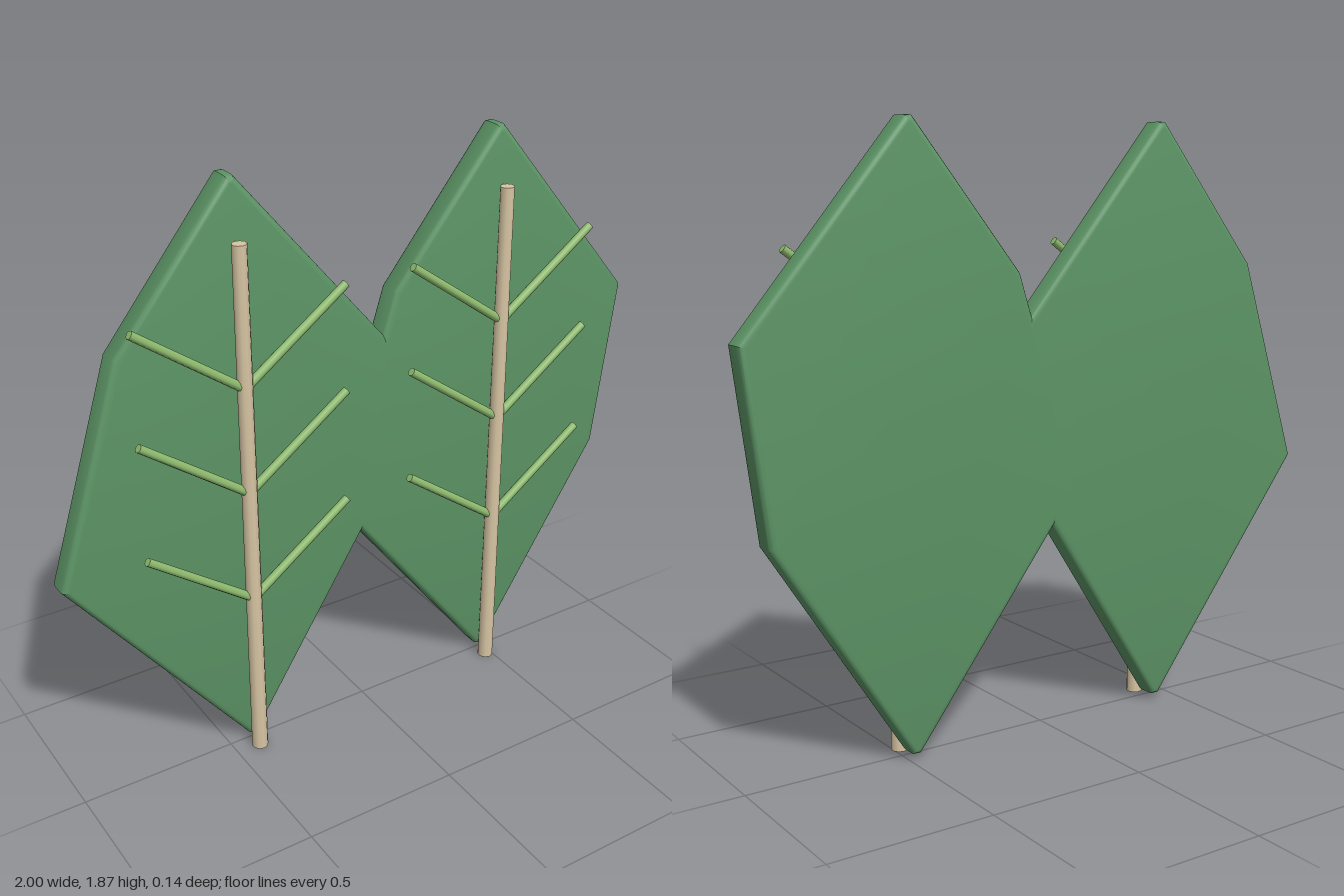
import * as THREE from 'three';
import { toCreasedNormals } from 'three/addons/utils/BufferGeometryUtils.js';

const material = (name, color) => {
  const m = new THREE.MeshStandardMaterial({ color });
  m.name = name;
  return m;
};

export function createModel() {
  const leafGreen = material('leafGreen', 0x5c9465);
  const stemTan = material('stemTan', 0xd8c6a4);
  const veinGreen = material('veinGreen', 0x8fbc6f);

  const add = (parent, name, geometry, mat, x = 0, y = 0, z = 0) => {
    const mesh = new THREE.Mesh(geometry, mat);
    mesh.name = name;
    mesh.position.set(x, y, z);
    parent.add(mesh);
    return mesh;
  };

  // Leaf outline, with blunted tips, given at its widest after bevelling
  const outline = [
    [-0.012, 0.02], [0.012, 0.02], [0.45, 0.7], [0.52, 1.26],
    [0.012, 1.865], [-0.012, 1.865], [-0.37, 1.42], [-0.58, 0.76],
  ].map(([x, y]) => new THREE.Vector2(x, y));
  const bladeGeometry = toCreasedNormals(new THREE.ExtrudeGeometry(new THREE.Shape(outline), {
    depth: 0.046, bevelEnabled: true, bevelThickness: 0.02, bevelSize: 0.02,
    bevelOffset: -0.02, bevelSegments: 4,
  }), 0.5);

  const stemGeometry = new THREE.CylinderGeometry(0.022, 0.026, 1.69, 10);

  // Side vein runs from the stem outwards and upwards
  const run = 0.33, rise = 0.24;
  const veinGeometry = new THREE.CylinderGeometry(0.013, 0.014, Math.hypot(run, rise), 8);

  const model = new THREE.Group();
  model.name = 'leafPair';

  for (const [name, x] of [['rightLeaf', -0.42], ['leftLeaf', 0.48]]) {
    const leaf = new THREE.Group();
    leaf.name = name;
    leaf.position.x = x;
    model.add(leaf);

    add(leaf, 'blade', bladeGeometry, leafGreen, 0, 0, -0.048);
    add(leaf, 'stem', stemGeometry, stemTan, 0, 0.845, 0.05);

    // Three mirrored pairs of veins
    for (const y of [0.565, 0.93, 1.265]) {
      for (const side of [-1, 1]) {
        const vein = add(leaf, 'vein', veinGeometry, veinGreen,
          side * (0.005 + run / 2), y + rise / 2, 0.05);
        vein.rotation.z = -side * Math.atan2(run, rise);
      }
    }
  }
  return model;
}
